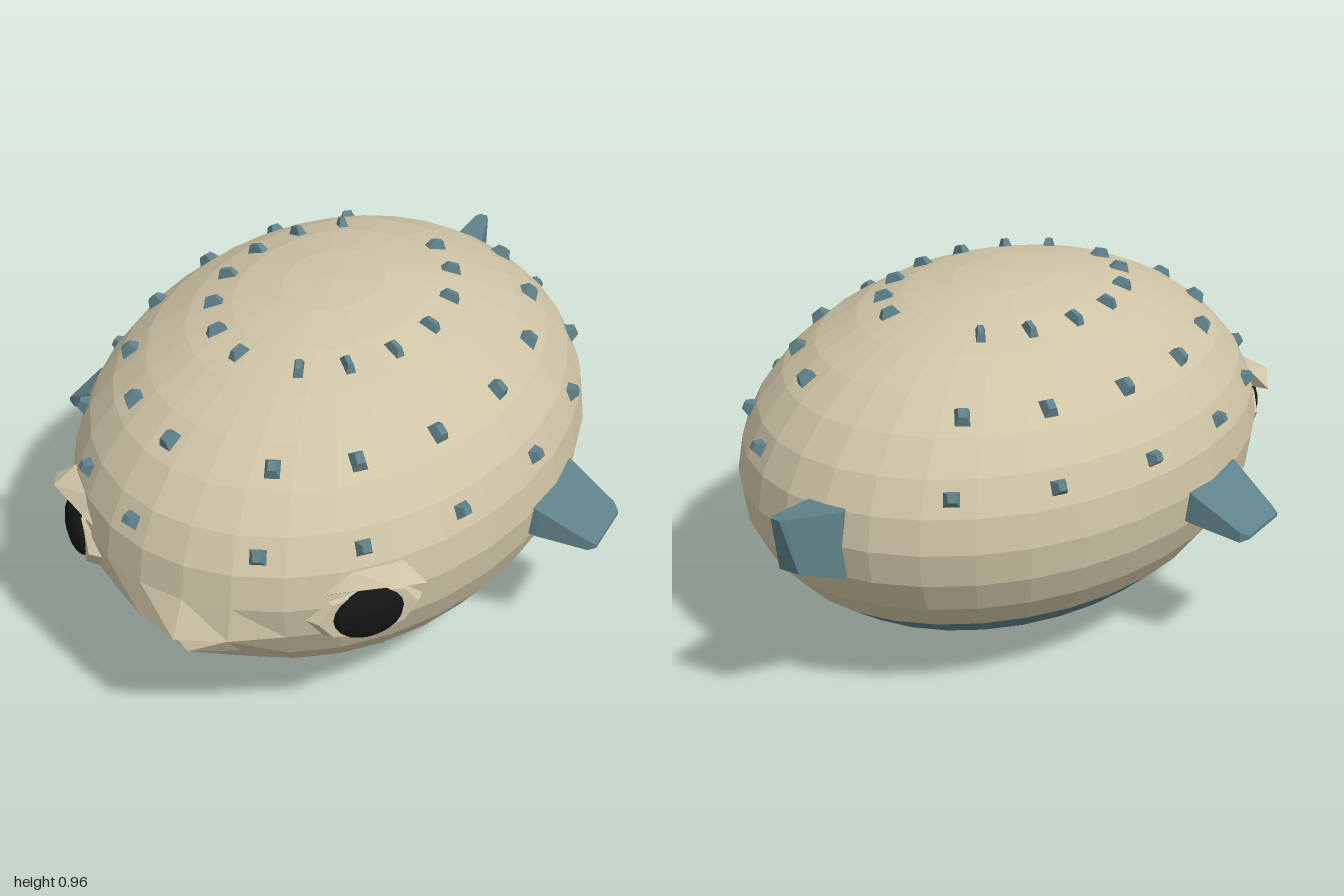
import * as THREE from 'three';
import { ConvexGeometry } from 'three/addons/geometries/ConvexGeometry.js';

const R = { x: 0.67, y: 0.4825, z: 0.88 };
const CENTRE = new THREE.Vector3(0, 0.4825, 0.07);
const V = (x, y, z) => new THREE.Vector3(x, y, z);

const paint = (color, side = THREE.FrontSide) =>
  new THREE.MeshStandardMaterial({ color, flatShading: true, side });

export function createModel() {
  const model = new THREE.Group();
  const tan = paint(0xcfc4a6), teal = paint(0x5f8189), black = paint(0x151515);

  const add = (name, geometry, material, parent = model) => {
    const mesh = new THREE.Mesh(geometry, material);
    mesh.name = name;
    parent.add(mesh);
    return mesh;
  };
  const hull = (name, points, material) => add(name, new ConvexGeometry(points), material);

  // Point and outward normal on the body at a given height and angle from the front
  const onBody = (y, angle) => {
    const s = (y - CENTRE.y) / R.y, c = Math.sqrt(1 - s * s);
    const d = V(c * Math.sin(angle), s, c * Math.cos(angle));
    return {
      point: V(d.x * R.x, y, CENTRE.z + d.z * R.z),
      normal: V(d.x / R.x, d.y / R.y, d.z / R.z).normalize(),
    };
  };

  // Body: ellipsoid whose front is drawn out into lips, with the mouth left open
  const bodyPart = (startRow, rows) => {
    const g = new THREE.SphereGeometry(1, 32, rows, 0, Math.PI * 2,
      startRow * Math.PI / 16, rows * Math.PI / 16).toNonIndexed();
    g.scale(R.x, R.y, R.z).translate(CENTRE.x, CENTRE.y, CENTRE.z);
    const p = g.attributes.position, kept = [];
    for (let i = 0; i < p.count; i += 3) {
      const tri = [0, 1, 2].map(k => V().fromBufferAttribute(p, i + k));
      const mid = V(0, 0, 0).add(tri[0]).add(tri[1]).add(tri[2]).divideScalar(3);
      if (Math.abs(mid.x) < 0.13 && mid.z > 0.8 && mid.y > 0.3 && mid.y < 0.388) continue;
      for (const v of tri) {
        if (v.z > 0.8 && Math.abs(v.y - 0.389) < 0.02)
          v.z += 0.067 * Math.max(0, 1 - Math.abs(v.x) / 0.24);
        if (v.z > 0.8 && Math.abs(v.y - 0.298) < 0.02 && Math.abs(v.x) < 0.05) v.z += 0.047;
        kept.push(v);
      }
    }
    return new THREE.BufferGeometry().setFromPoints(kept);
  };
  const finish = g => { g.computeVertexNormals(); return g; };
  add('body', finish(bodyPart(0, 11)), tan);
  add('belly', finish(bodyPart(11, 5)), teal);

  // Mouth: dark roof under the upper lip, floor and corners behind the lower lip
  const upperTip = V(0, 0.389, 1.0), lowerTip = V(0, 0.298, 0.93), back = V(0, 0.358, 0.9);
  const roof = [], floor = [lowerTip, V(0.125, 0.36, 0.9), V(-0.125, 0.36, 0.9)];
  for (const s of [-1, 1]) {
    const lip = V(s * 0.128, 0.389, 0.947), inner = V(s * 0.125, 0.36, 0.9);
    const low = V(s * 0.121, 0.298, 0.867);
    roof.push(lip, upperTip, back, lip, back, inner);
    floor.push(inner, low, lowerTip, lip, low, inner);
  }
  const triangles = points => finish(new THREE.BufferGeometry().setFromPoints(points));
  add('mouthRoof', triangles(roof), paint(0x151515, THREE.DoubleSide));
  add('mouthFloor', triangles(floor), paint(0xcfc4a6, THREE.DoubleSide));

  for (const s of [1, -1]) {
    const side = s > 0 ? 'left' : 'right';

    // Eye: flattened ball in a shallow faceted socket
    const eye = new THREE.Group();
    eye.name = side + 'EyeGroup';
    eye.position.set(s * 0.418, 0.445, 0.74);
    eye.rotation.y = s * THREE.MathUtils.degToRad(47);
    model.add(eye);
    const socket = new THREE.CylinderGeometry(0.72, 1, 0.07, 8).rotateX(Math.PI / 2);
    add(side + 'EyeSocket', socket.scale(0.19, 0.1, 1), tan, eye).position.z = -0.02;
    const ball = new THREE.SphereGeometry(1, 14, 10).scale(0.098, 0.074, 0.035);
    add(side + 'Eye', ball, black, eye).position.z = 0.012;

    // Brow ridge jutting over the eye
    hull(side + 'Brow', [
      V(s * 0.27, 0.5, 0.84), V(s * 0.36, 0.575, 0.77), V(s * 0.5, 0.55, 0.745),
      V(s * 0.37, 0.53, 0.81), V(s * 0.55, 0.52, 0.66), V(s * 0.4, 0.5, 0.7),
      V(s * 0.48, 0.57, 0.66),
    ], tan);

    // Side fin: tapered slab sloping outward and down
    const fin = [];
    for (const [x, y0, y1, z0, z1] of [
      [0.62, 0.41, 0.51, -0.05, 0.215],
      [0.67, 0.4, 0.485, -0.05, 0.21],
      [0.805, 0.37, 0.4, -0.03, 0.17],
      [0.825, 0.378, 0.388, -0.01, 0.16],
    ]) for (const y of [y0, y1]) for (const z of [z0, z1]) fin.push(V(s * x, y, z));
    hull(side + 'Fin', fin, teal);
  }

  // Tail fin: wedge sweeping back and up
  const tail = [];
  for (const [w, y, z] of [[0.06, 0.39, -0.77], [0.06, 0.58, -0.77], [0.058, 0.39, -0.8],
    [0.058, 0.58, -0.8], [0.03, 0.46, -0.95], [0.022, 0.622, -0.985], [0.012, 0.625, -1]])
    tail.push(V(w, y, z), V(-w, y, z));
  hull('tailFin', tail, teal);

  // Spines: three rings of stubby four-sided studs, with a gap at the back
  const spines = new THREE.Group();
  spines.name = 'spines';
  model.add(spines);
  const stud = new THREE.CylinderGeometry(0.32, Math.SQRT1_2, 1, 4).rotateY(Math.PI / 4);
  for (const [y, width, length] of [[0.912, 0.032, 0.07], [0.788, 0.048, 0.062], [0.625, 0.05, 0.045]]) {
    for (let i = 0; i < 7; i++) for (const s of [1, -1]) {
      const { point, normal } = onBody(y, s * THREE.MathUtils.degToRad(16.5 + 22.5 * i));
      const across = V(0, 1, 0).cross(normal).normalize();
      const mesh = add('spine', stud, teal, spines);
      mesh.quaternion.setFromRotationMatrix(
        new THREE.Matrix4().makeBasis(across, normal, across.clone().cross(normal)));
      mesh.scale.set(width, 0.036, length);
      mesh.position.copy(point).addScaledVector(normal, 0.002);
    }
  }
  return model;
}
